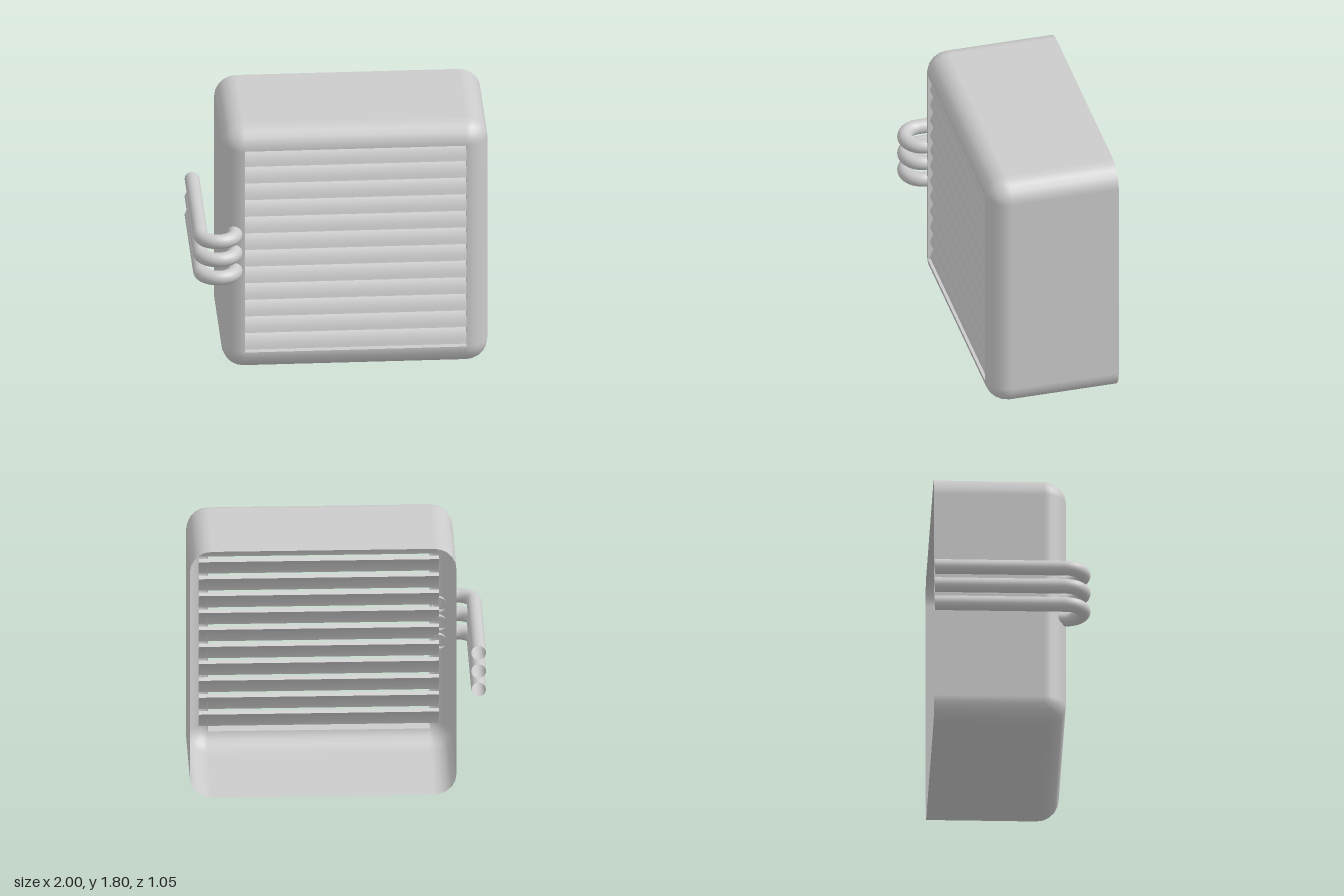
import * as THREE from 'three';
import { toCreasedNormals } from 'three/addons/utils/BufferGeometryUtils.js';

const CX = 0.1, CY = 0.9, HALF = 0.75;      // window centre and half size
const BACK = -0.53, FRONT = 0.365, R = 0.15; // shell depth and edge radius
const SEG = 5;

const material = new THREE.MeshStandardMaterial({ color: 0xcccccc, side: THREE.DoubleSide });

function add(parent, name, geometry) {
  const mesh = new THREE.Mesh(geometry, material);
  mesh.name = name;
  parent.add(mesh);
  return mesh;
}

// Open-backed rounded shell: rounded-square rings that shrink to the window edge
function shellGeometry() {
  const pos = [], nor = [], idx = [];
  const rings = [[BACK, 0]];
  for (let i = 0; i <= SEG; i++) {
    const t = (i / SEG) * Math.PI / 2;
    rings.push([FRONT - R + R * Math.sin(t), t]);
  }
  const count = 4 * (SEG + 1);
  for (const [z, t] of rings) {
    for (let c = 0; c < 4; c++) {
      const sx = c === 0 || c === 3 ? 1 : -1, sy = c < 2 ? 1 : -1;
      for (let k = 0; k <= SEG; k++) {
        const a = (c + k / SEG) * Math.PI / 2;
        const nx = Math.cos(a) * Math.cos(t), ny = Math.sin(a) * Math.cos(t);
        pos.push(CX + sx * HALF + R * nx, CY + sy * HALF + R * ny, z);
        nor.push(nx, ny, Math.sin(t));
      }
    }
  }
  for (let j = 0; j < rings.length - 1; j++) {
    for (let i = 0; i < count; i++) {
      const a = j * count + i, b = j * count + (i + 1) % count;
      idx.push(a, b, b + count, a, b + count, a + count);
    }
  }
  const g = new THREE.BufferGeometry();
  g.setAttribute('position', new THREE.Float32BufferAttribute(pos, 3));
  g.setAttribute('normal', new THREE.Float32BufferAttribute(nor, 3));
  g.setIndex(idx);
  return g;
}

// Curved louvre slat: top edge set back, lower edge forward
function slatGeometry() {
  const s = new THREE.Shape();
  s.moveTo(0.35, 0);
  s.quadraticCurveTo(0.33, 0.085, 0.27, 0.132);
  s.lineTo(0.248, 0.115);
  s.quadraticCurveTo(0.305, 0.07, 0.325, 0);
  s.closePath();
  const width = 1.62;
  const g = new THREE.ExtrudeGeometry(s, { depth: width, bevelEnabled: false, curveSegments: 6 });
  g.rotateY(-Math.PI / 2);
  g.translate(CX + width / 2, 0, 0);
  return toCreasedNormals(g, 0.6);
}

// Hook-shaped pipe: long straight run, half-circle bend, end inside the front frame
function pipeGeometry() {
  const x0 = -0.95, r = 0.1175, z0 = 0.3575;
  const path = new THREE.CurvePath();
  const v = (x, z) => new THREE.Vector3(x, 0, z);
  const bend = [];
  for (let i = 0; i <= 12; i++) {
    const a = Math.PI * (1 - i / 12);
    bend.push(v(x0 + r + r * Math.cos(a), z0 + r * Math.sin(a)));
  }
  path.add(new THREE.LineCurve3(v(x0, BACK), bend[0]));
  path.add(new THREE.CatmullRomCurve3(bend));
  path.add(new THREE.LineCurve3(bend[12], v(x0 + 2 * r, 0.31)));
  return new THREE.TubeGeometry(path, 64, 0.05, 20, false);
}

export function createModel() {
  const model = new THREE.Group();
  model.name = 'louvredUnit';

  add(model, 'housing', shellGeometry());

  // Lip around the window
  const lip = new THREE.Group();
  lip.name = 'windowLip';
  lip.position.set(CX, CY, 0);
  const depth = 0.1;
  for (let i = 0; i < 4; i++) {
    const g = new THREE.PlaneGeometry(depth, HALF * 2);
    g.rotateY(Math.PI / 2);
    g.translate(-HALF, 0, FRONT - depth / 2);
    g.rotateZ(i * Math.PI / 2);
    add(lip, 'lipSide', g);
  }
  model.add(lip);

  // Louvres
  const louvres = new THREE.Group();
  louvres.name = 'louvres';
  const slat = slatGeometry();
  for (let i = 0; i < 12; i++) add(louvres, 'slat', slat).position.y = 0.165 + i * 0.124;
  model.add(louvres);

  // Pipes
  const pipes = new THREE.Group();
  pipes.name = 'pipes';
  const pipe = pipeGeometry();
  for (const y of [0.765, 0.9, 1.035]) add(pipes, 'pipe', pipe).position.y = y;
  model.add(pipes);

  return model;
}
